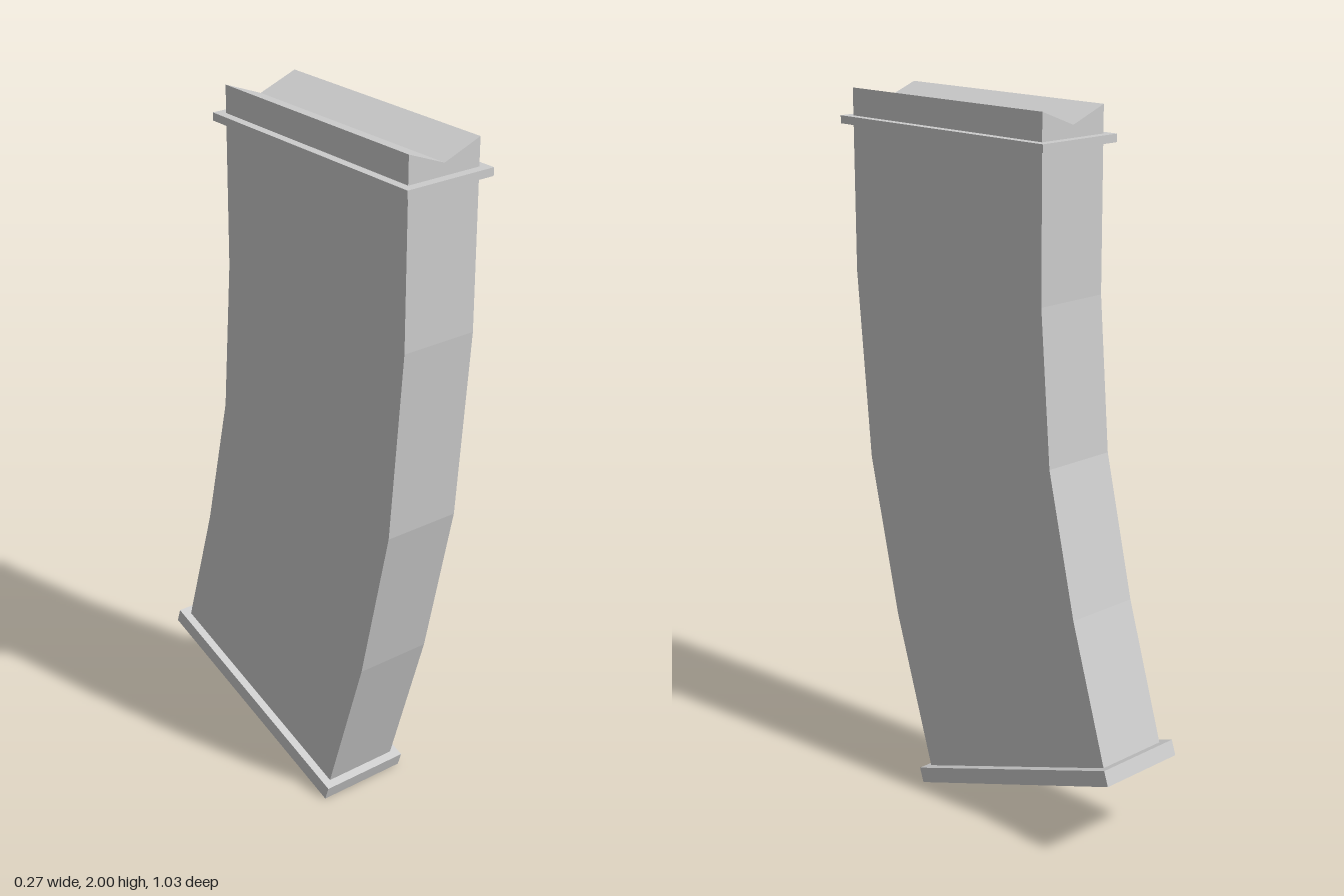
import * as THREE from 'three';

const material = new THREE.MeshStandardMaterial({ color: 0xcccccc, flatShading: true });

// Centred extrusion of a closed outline
function prism(points, depth) {
  const shape = new THREE.Shape(points.map(([a, b]) => new THREE.Vector2(a, b)));
  return new THREE.ExtrudeGeometry(shape, { depth, bevelEnabled: false }).translate(0, 0, -depth / 2);
}

// Side profile given as [z, y], extruded across x
const sideProfile = (points, width) => prism(points, width).rotateY(-Math.PI / 2);

export function createModel() {
  const group = new THREE.Group();
  const add = (name, geometry) => {
    const mesh = new THREE.Mesh(geometry, material);
    mesh.name = name;
    group.add(mesh);
    return mesh;
  };
  const bodyWidth = 0.226, rimWidth = 0.274;
  const front = 0.491, back = -0.237;

  // Curved body, front edge downwards then rear edge upwards
  add('curvedBody', sideProfile([
    [front, 1.91], [front, 1.49], [0.445, 0.95], [0.342, 0.49], [0.205, 0.045],
    [-0.482, 0.27], [-0.362, 0.67], [-0.27, 1.07], [back, 1.5], [back, 1.91],
  ], bodyWidth));

  // Collar around the mouth
  add('collar', new THREE.BoxGeometry(rimWidth, 0.022, 0.78)).position.set(0, 1.913, 0.127);

  // Top block with a V groove running front to back
  const h = bodyWidth / 2;
  add('groovedTop', prism([[-h, 1.91], [h, 1.91], [h, 2], [0, 1.957], [-h, 2]], front - back))
    .position.z = (front + back) / 2;

  // Tilted base plate
  add('basePlate', sideProfile([
    [0.229, 0.042], [0.215, 0], [-0.517, 0.247], [-0.503, 0.289],
  ], rimWidth));

  return group;
}
